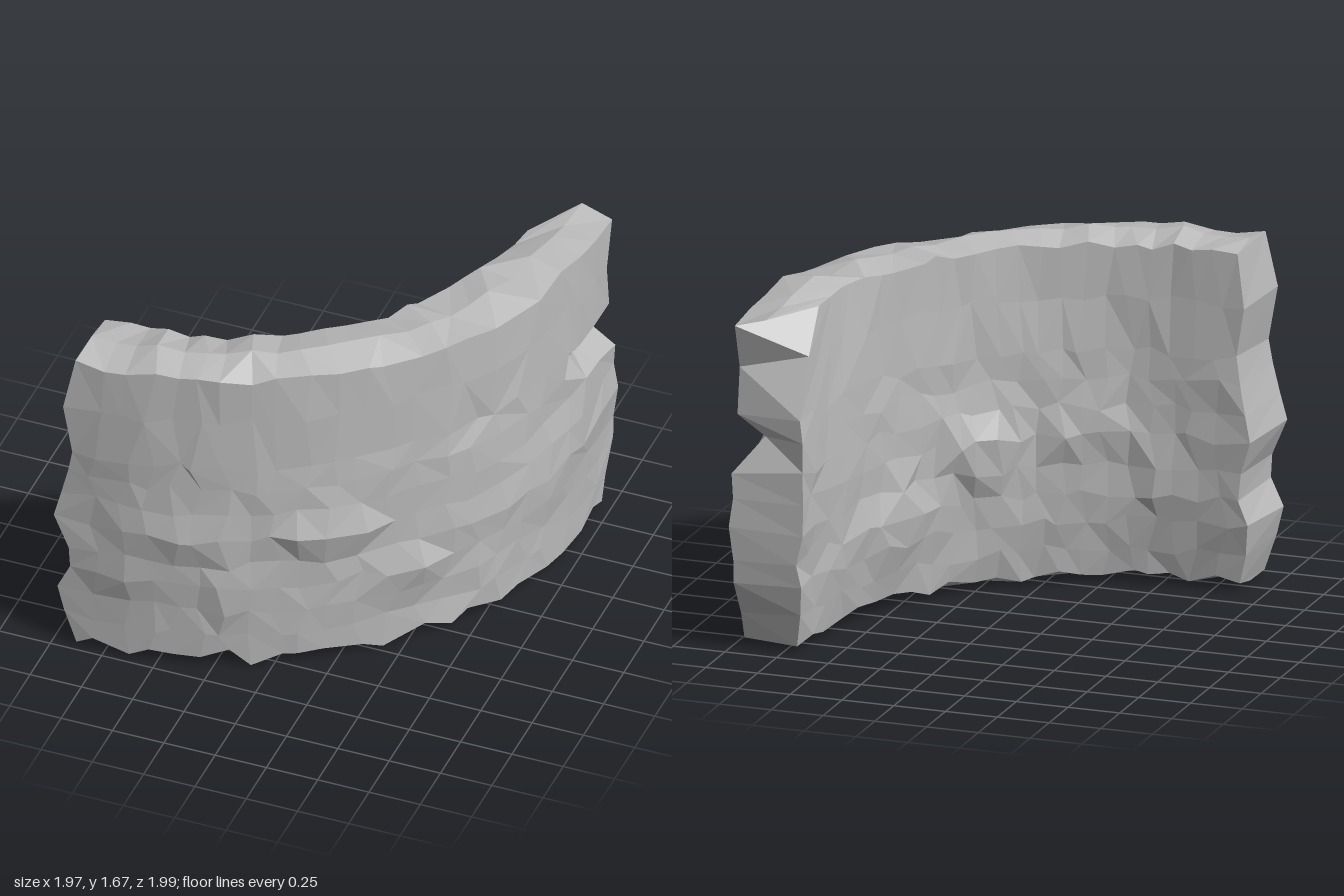
import * as THREE from 'three';

// Seeded random in -1..1
function makeRandom(seed) {
  return () => {
    seed = (seed * 16807) % 2147483647;
    return (seed / 2147483647) * 2 - 1;
  };
}

// Plan curve from [x, z] pairs; s runs 0..9 along the wall
const plan = (pts) => new THREE.CatmullRomCurve3(pts.map(([x, z]) => new THREE.Vector3(x, 0, z)));
const outerPlan = plan([[-0.88, 0.97], [-0.6, 0.955], [-0.33, 0.905], [-0.06, 0.8], [0.2, 0.645],
  [0.46, 0.425], [0.69, 0.18], [0.86, -0.15], [0.94, -0.55], [0.955, -0.93]]);
const innerPlan = plan([[-0.87, 0.615], [-0.62, 0.605], [-0.4, 0.575], [-0.15, 0.475], [0.06, 0.355],
  [0.25, 0.195], [0.4, 0], [0.53, -0.28], [0.615, -0.6], [0.655, -0.95]]);

const rowHeights = [0.05, 0.18, 0.32, 0.45, 0.58, 0.73, 0.87, 1.0, 1.13, 1.38, 1.62];

// Jutting stones and hollows: [s, y, half length, half height, depth]
const outerStones = [
  [0.6, 1.36, 0.8, 0.14, 0.015], [0.7, 1.07, 0.8, 0.12, 0.015], [1.7, 0.73, 1.0, 0.13, 0.03],
  [0.8, 0.5, 0.8, 0.12, 0.015], [2.5, 0.4, 0.5, 0.2, 0.02], [4.0, 0.74, 0.9, 0.16, 0.045],
  [5.2, 0.42, 0.4, 0.16, 0.05], [5.7, 0.2, 0.5, 0.15, -0.02], [6.3, 1.2, 0.4, 0.16, -0.02],
  [7.6, 0.6, 1.6, 0.22, 0.025], [8.8, 1.0, 0.9, 0.11, -0.13],
];
const innerStones = [
  [4.8, 0.68, 0.9, 0.2, 0.055], [2.8, 0.75, 0.7, 0.18, 0.03], [6.6, 0.42, 1, 0.2, 0.03],
  [1.6, 0.5, 0.7, 0.15, 0.02], [8.6, 0.45, 0.8, 0.16, -0.02],
];
// Ragged end overhang by height: [y, length]
const leftEnd = [[0, 0], [0.31, 0.1], [0.52, 0.0], [0.68, 0.12], [1, 0.04], [1.22, 0], [1.41, 0.08], [1.66, 0]];
const rightEnd = [[0, -0.08], [0.15, -0.04], [0.33, 0.05], [0.58, 0.07], [0.88, 0.05], [1.0, -0.03],
  [1.14, 0.01], [1.41, -0.03], [1.58, 0.06], [1.66, 0.06]];
const rightInnerEnd = [[0, -0.06], [0.4, 0.03], [1.13, 0.03], [1.38, -0.08], [1.62, -0.25]];

function lookUp(table, y) {
  for (let k = 1; k < table.length; k++) {
    const [y0, a] = table[k - 1], [y1, b] = table[k];
    if (y <= y1) return a + (b - a) * Math.max(0, (y - y0) / (y1 - y0));
  }
  return table[table.length - 1][1];
}

function relief(stones, s, y) {
  let sum = 0;
  for (const [cs, cy, rs, ry, depth] of stones) {
    const d = Math.abs(s - cs) / rs + Math.abs(y - cy) / ry;
    sum += depth * Math.min(1, Math.max(0, 1.25 - d) * 1.6);
  }
  return sum;
}

function createWallGeometry() {
  const random = makeRandom(4177);
  const columns = 22, rows = rowHeights.length, ringSize = rows * 2 + 2;
  const rings = [];

  // One surface point; side is 1 for the outer face, -1 inner, 0 the middle of top or bottom
  function wallPoint(s, y, side) {
    const t = s / 9;
    const o = outerPlan.getPoint(t), n = innerPlan.getPoint(t);
    const outward = o.clone().sub(n).normalize();
    const p = side > 0 ? o : side < 0 ? n : o.clone().lerp(n, 0.5);
    const belly = Math.sin(Math.PI * Math.min(1, y / 1.5));
    if (side > 0) p.addScaledVector(outward, 0.015 * belly + relief(outerStones, s, y) + 0.006 * random());
    if (side < 0) {
      p.addScaledVector(outward, -0.02 * belly + 0.04 * Math.max(0, 1 - y / 0.35)
        - relief(innerStones, s, y) + 0.008 * random());
    }
    // Ragged ends; the inner top corner at the right is broken away
    const reach = side < 0 ? 0.8 : 1;
    p.x -= lookUp(leftEnd, y) * reach * Math.max(0, 1 - s / 0.9);
    const [overhang, fade] = side < 0 ? [rightInnerEnd, 2] : [rightEnd, 0.9];
    const nearRight = Math.max(0, 1 - (9 - s) / fade);
    p.z -= lookUp(overhang, y) * nearRight;
    p.x = THREE.MathUtils.clamp(p.x, -1, 0.985);
    p.z = THREE.MathUtils.clamp(p.z, -1, 0.99);
    // Rim sags towards the right end
    const sag = side < 0 ? 0 : 0.06 * nearRight * Math.max(0, y - 1.2) / 0.45;
    p.y = Math.max(0, y - sag);
    return p;
  }

  // Closed cross-section loops: up the outside, over the top, down the inside
  for (let i = 0; i <= columns; i++) {
    const ring = [];
    const isEnd = i === 0 || i === columns;
    const slide = () => (isEnd ? i * 9 / columns : (i + 0.3 * random()) * 9 / columns);
    const base = 0.03 * random();
    for (const h of rowHeights) ring.push(wallPoint(slide(), h + 0.025 * random() + (h < 0.1 ? base : 0), 1));
    ring.push(wallPoint(slide(), 1.65 + 0.025 * random(), 0));
    for (const h of [...rowHeights].reverse()) ring.push(wallPoint(slide(), h + 0.025 * random(), -1));
    ring.push(wallPoint(slide(), 0.025 + 0.025 * random(), 0));
    rings.push(ring);
  }

  const positions = [];
  const triangle = (...corners) => corners.forEach((c) => positions.push(c.x, c.y, c.z));
  const quad = (a, b, c, d, flip) => {
    if (flip) { triangle(a, b, d); triangle(b, c, d); } else { triangle(a, b, c); triangle(a, c, d); }
  };

  // Skin between loops
  for (let i = 0; i < columns; i++) {
    for (let j = 0; j < ringSize; j++) {
      const k = (j + 1) % ringSize;
      quad(rings[i][j], rings[i + 1][j], rings[i + 1][k], rings[i][k], random() > 0);
    }
  }

  // End caps
  function cap(r, reversed) {
    const tri = (a, b, c) => (reversed ? triangle(a, c, b) : triangle(a, b, c));
    for (let j = 0; j < rows - 1; j++) {
      const a = r[2 * rows - j], b = r[j], c = r[j + 1], d = r[2 * rows - j - 1];
      tri(a, b, c);
      tri(a, c, d);
    }
    tri(r[rows + 1], r[rows - 1], r[rows]);
    tri(r[2 * rows + 1], r[0], r[2 * rows]);
  }
  cap(rings[0], false);
  cap(rings[columns], true);

  const geometry = new THREE.BufferGeometry();
  geometry.setAttribute('position', new THREE.Float32BufferAttribute(positions, 3));
  geometry.computeVertexNormals();
  return geometry;
}

export function createModel() {
  const stone = new THREE.MeshStandardMaterial({ color: 0xbababa, flatShading: true });
  stone.name = 'grey stone';
  const wall = new THREE.Mesh(createWallGeometry(), stone);
  wall.name = 'curvedRockWall';
  const model = new THREE.Group();
  model.name = 'rockWall';
  model.add(wall);
  return model;
}
